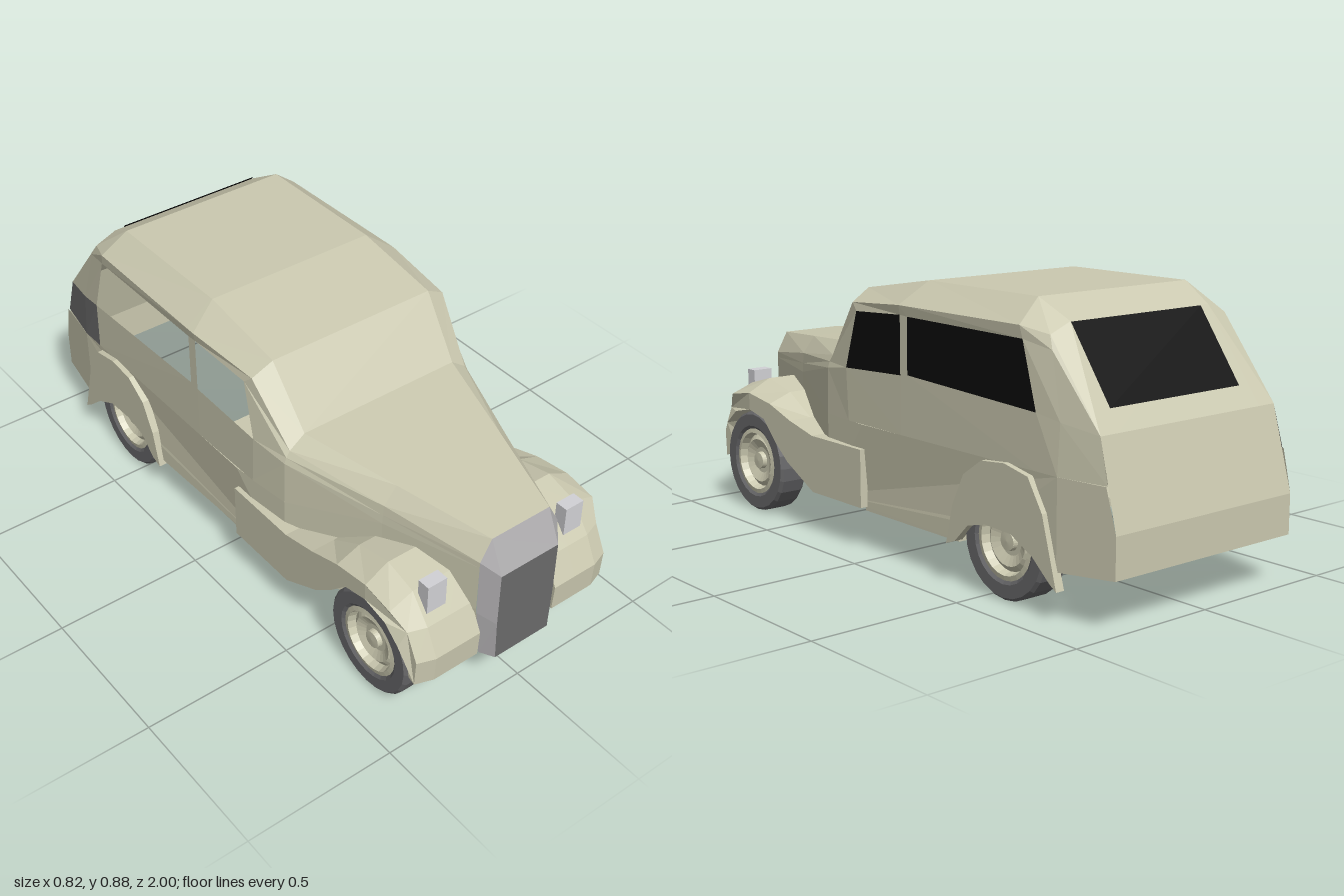
import * as THREE from 'three';

const mat = (name, color) => {
  const m = new THREE.MeshStandardMaterial({ color, side: THREE.DoubleSide, flatShading: true });
  m.name = name;
  return m;
};

// Strip of quads between two lines of [z, x, y] points, from segment a up to segment b
function strip(A, B, a = 0, b = A.length - 1) {
  const v = [];
  const put = (...pts) => pts.forEach(([z, x, y]) => v.push(x, y, z));
  for (let i = a; i < b; i++) {
    put(A[i], B[i], B[i + 1]);
    put(A[i], B[i + 1], A[i + 1]);
  }
  const g = new THREE.BufferGeometry();
  g.setAttribute('position', new THREE.Float32BufferAttribute(v, 3));
  g.computeVertexNormals();
  return g;
}
const flip = row => row.map(([z, x, y]) => [z, -x, y]);
const outline = pts => new THREE.Shape(pts.map(p => new THREE.Vector2(p[0], p[1])));

// Move the vertices of a geometry by a rule
function bend(g, rule) {
  const p = g.attributes.position, v = new THREE.Vector3();
  for (let i = 0; i < p.count; i++) {
    rule(v.fromBufferAttribute(p, i));
    p.setXYZ(i, v.x, v.y, v.z);
  }
  g.computeVertexNormals();
  return g;
}

// Side outline in (z, y), extruded from x = x0 to x = x1
function slab(pts, x0, x1, steps = 1) {
  const g = new THREE.ExtrudeGeometry(outline(pts), { depth: x1 - x0, steps, bevelEnabled: false });
  g.rotateY(-Math.PI / 2).translate(-x0, 0, 0);
  return bend(g.scale(-1, 1, 1), () => {});
}

// Lengthwise body lines from nose to tail
const ROWS = {
  edge: [[.95, .11, .58], [.64, .2, .61], [.32, .29, .64], [.18, .3, .83], [-.13, .3, .88], [-.14, .3, .88], [-.62, .3, .88], [-.73, .28, .82], [-.93, .29, .54]],
  gutter: [[.95, .15, .51], [.64, .245, .555], [.32, .345, .6], [.17, .37, .79], [-.1, .395, .81], [-.135, .395, .81], [-.64, .388, .81], [-.73, .355, .79], [-.93, .355, .54]],
  windowTop: [[.95, .15, .49], [.64, .248, .52], [.32, .358, .58], [.14, .378, .765], [-.1, .39, .78], [-.135, .39, .778], [-.65, .385, .772], [-.75, .365, .75], [-.93, .355, .54]],
  windowBase: [[.95, .15, .47], [.64, .25, .49], [.32, .365, .56], [.19, .385, .58], [-.1, .39, .595], [-.135, .39, .6], [-.71, .388, .575], [-.8, .38, .56], [-.93, .355, .54]],
  belt: [[.95, .15, .33], [.64, .25, .4], [.32, .368, .41], [.18, .385, .41], [-.1, .39, .41], [-.135, .39, .41], [-.71, .39, .41], [-.8, .39, .41], [-.965, .36, .41]],
  sill: [[.95, .13, .15], [.64, .25, .15], [.32, .368, .14]],
};

const LOWER_SIDE = [[.32, .41], [.32, .14], [-.38, .14], [-.44, .2], [-.52, .22], [-.63, .215], [-.72, .17], [-.8, .14],
  [-1, .155], [-1, .28], [-.965, .41], [-.8, .41], [.1, .41]];
const FRONT_FENDER = [[.1, .14], [.1, .33], [.37, .33], [.5, .36], [.62, .43], [.75, .46], [.86, .43], [.93, .34], [.975, .25], [.97, .16],
  [.945, .17], [.93, .23], [.9, .29], [.84, .34], [.75, .36], [.66, .34], [.59, .27], [.52, .215], [.37, .14]];
const REAR_FENDER = [[-.34, .125], [-.37, .25], [-.42, .35], [-.5, .405], [-.6, .415], [-.7, .395], [-.76, .3], [-.82, .09],
  [-.79, .11], [-.72, .17], [-.63, .215], [-.52, .22], [-.44, .2], [-.38, .14]];

export function createModel() {
  const paint = mat('cream paint', 0xcbc9b0);
  const black = mat('black glass', 0x0c0c0c);
  const dark = mat('dark grey', 0x6a6a6a);
  const chrome = mat('pale metal', 0xaeacae);
  const rubber = mat('tyre rubber', 0x68686a);
  const lens = mat('headlight', 0xd2d2d6);

  const car = new THREE.Group();
  car.name = 'car';
  const add = (name, geometry, material, parent = car) => {
    const m = new THREE.Mesh(geometry, material);
    m.name = name;
    parent.add(m);
    return m;
  };

  // Bonnet, windscreen, roof and tailgate in one run
  add('roofAndBonnet', strip(flip(ROWS.edge), ROWS.edge), paint);

  // Tail panel
  const tail = [[-.93, .355, .54], [-1, .36, .28], [-1, .36, .155]];
  add('tailPanel', strip(flip(tail), tail), paint);

  // Rear window plate
  const pane = x => [[-.737, x, .82], [-.894, x, .602]];
  add('rearWindow', strip(pane(-.24), pane(.285)), black);

  // Floor
  add('floor', new THREE.BoxGeometry(.74, .03, .47).translate(0, .14, -.12), paint);

  // Radiator grille
  const rim = [[1, .11, .47], [1, .11, .28], [1, .105, .14]];
  const cheek = [[.95, .15, .51], [.95, .147, .31], [.955, .13, .14]];
  const crown = [[.95, .11, .58], [1, .11, .47]];
  add('grille', strip(flip(rim), rim), dark);
  add('grilleCrown', strip(flip(crown), crown), chrome);

  for (const s of [1, -1]) {
    const side = new THREE.Group();
    side.name = s > 0 ? 'leftSide' : 'rightSide';
    side.scale.x = s;
    car.add(side);
    const put = (name, geometry, material) => add(name, geometry, material, side);
    const R = ROWS;

    // Upper body sides
    put('roofShoulder', strip(R.edge, R.gutter), paint);
    put('windowHeader', strip(R.gutter, R.windowTop), paint);
    put('bonnetSide', strip(R.windowTop, R.windowBase, 0, 3), paint);
    put('doorPillar', strip(R.windowTop, R.windowBase, 4, 5), paint);
    put('rearPillar', strip(R.windowTop, R.windowBase, 6, 8), paint);
    put('doorPanel', strip(R.windowBase, R.belt, 0, 6), paint);
    put('rearQuarter', strip(R.windowBase, R.belt, 6, 8), s > 0 ? paint : dark);
    put('engineSide', strip(R.belt, R.sill, 0, 2), paint);

    // Glass on one side, open windows on the other
    if (s > 0) {
      put('frontWindow', strip(R.windowTop, R.windowBase, 3, 4), black);
      put('rearSideWindow', strip(R.windowTop, R.windowBase, 5, 6), black);
    }

    // Lower side with the rear wheel cut-out, drawn in at both ends
    const lower = new THREE.ShapeGeometry(outline(LOWER_SIDE)).rotateY(-Math.PI / 2);
    put('lowerSide', bend(lower, v => {
      v.x = .39 - Math.max(0, v.z - .1) * .1 - Math.max(0, -.8 - v.z) * .15;
    }), paint);

    // Fenders
    const fender = slab(FRONT_FENDER, .15, .4, 3);
    put('frontFender', bend(fender, v => {
      if (v.x > .39) {
        if (v.y > .365) v.y -= (v.y - .34) * .35;
        if (v.z > .92) { v.x = .375; v.z -= .02; }
      }
    }), paint);
    put('rearFender', slab(REAR_FENDER, .378, .408), paint);

    // Rear wheel housing
    put('wheelHousing', new THREE.CylinderGeometry(.2, .2, .12, 10, 1, true, 0, Math.PI)
      .rotateZ(Math.PI / 2).translate(.325, .17, -.57), paint);
    put('housingWall', new THREE.CircleGeometry(.2, 10, 0, Math.PI)
      .rotateY(Math.PI / 2).translate(.265, .17, -.57), paint);

    // Grille cheeks
    put('grilleCheek', strip(rim, cheek), chrome);
    put('grilleCorner', strip([crown[0], crown[0]], [rim[0], cheek[0]]), chrome);

    // Headlight
    put('headlight', new THREE.BoxGeometry(.07, .1, .042).translate(.268, .42, .888), lens);

    // Wheels
    const lathe = pts => new THREE.LatheGeometry(pts.map(p => new THREE.Vector2(...p)), 24).rotateZ(-Math.PI / 2);
    for (const [name, z] of [['front', .75], ['rear', -.57]]) {
      const wheel = new THREE.Group();
      wheel.name = name + 'Wheel';
      wheel.position.set(.335, .174, z);
      side.add(wheel);
      add('tyre', lathe([[.1, -.03], [.12, -.05], [.165, -.05], [.174, -.04], [.174, .04], [.165, .05], [.125, .05], [.115, .043]]), rubber, wheel);
      add('rim', lathe([[.115, .043], [.1, .046], [.092, .02], [.075, .032], [.045, .018], [.03, .018], [.028, .034], [0, .036]]), paint, wheel);
      add('wheelBack', lathe([[0, -.02], [.1, -.03]]), paint, wheel);
    }
  }
  return car;
}
